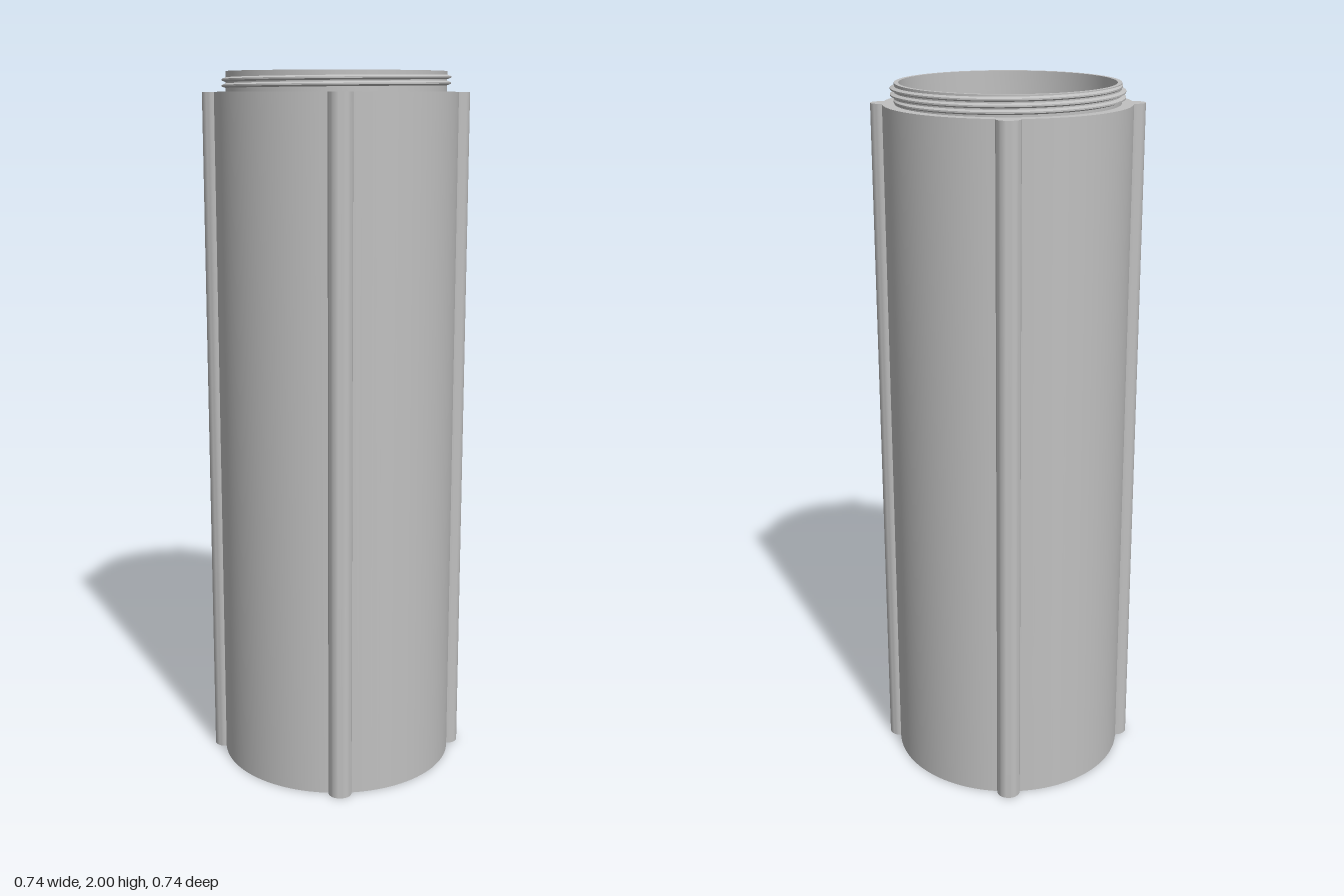
import * as THREE from 'three';
import { toCreasedNormals } from 'three/addons/utils/BufferGeometryUtils.js';

const BODY_H = 1.945, TOP = 2, R_OUT = 0.338, R_IN = 0.293, R_RIB = 0.033;
const R_ROOT = 0.305, R_CREST = 0.316, FLOOR = 0.04;

// Extrude a plan shape upwards from y = 0
function extrudeUp(shape, height, segments) {
  const g = new THREE.ExtrudeGeometry(shape, { depth: height, bevelEnabled: false, curveSegments: segments });
  g.rotateX(-Math.PI / 2);
  return toCreasedNormals(g, 0.45);
}

// Round plan with four half-round ribs and a circular bore
function bodyShape() {
  const pts = [];
  const a = Math.asin(R_RIB / R_OUT);
  for (let q = 0; q < 4; q++) {
    const t = q * Math.PI / 2;
    const cx = R_OUT * Math.cos(t), cy = R_OUT * Math.sin(t);
    for (let i = 0; i <= 14; i++) {
      const b = t - Math.PI / 2 + Math.PI * i / 14;
      pts.push(new THREE.Vector2(cx + R_RIB * Math.cos(b), cy + R_RIB * Math.sin(b)));
    }
    for (let i = 0; i <= 24; i++) {
      const b = t + a + (Math.PI / 2 - 2 * a) * i / 24;
      pts.push(new THREE.Vector2(R_OUT * Math.cos(b), R_OUT * Math.sin(b)));
    }
  }
  const s = new THREE.Shape(pts);
  s.holes.push(new THREE.Path().absarc(0, 0, R_IN, 0, Math.PI * 2, true));
  return s;
}

// Disc with a long narrow slot
function floorShape() {
  const s = new THREE.Shape().absarc(0, 0, R_IN, 0, Math.PI * 2, false);
  const w = 0.015, l = 0.283;
  s.holes.push(new THREE.Path([[-w, -l], [-w, l], [w, l], [w, -l]].map(p => new THREE.Vector2(...p))));
  return s;
}

// Helical ridge swept from a trapezoid section, fading out at both ends
function threadGeometry(turns, pitch, y0) {
  const pos = [], idx = [], n = Math.round(turns * 96);
  for (let i = 0; i <= n; i++) {
    const t = i / 96 * Math.PI * 2, y = y0 + pitch * i / 96;
    const fade = Math.min(1, i / 10, (n - i) / 10);
    const crest = R_ROOT + (R_CREST - R_ROOT) * fade;
    const section = [[R_ROOT - 0.002, -0.007], [crest, -0.002], [crest, 0.002], [R_ROOT - 0.002, 0.007]];
    for (const [r, dy] of section) pos.push(r * Math.cos(t), y + dy, -r * Math.sin(t));
    if (i === n) continue;
    for (let k = 0; k < 3; k++) {
      const p = i * 4 + k, q = p + 4;
      idx.push(p, q, q + 1, p, q + 1, p + 1);
    }
  }
  const g = new THREE.BufferGeometry();
  g.setAttribute('position', new THREE.Float32BufferAttribute(pos, 3));
  g.setIndex(idx);
  return toCreasedNormals(g, 0.5);
}

export function createModel() {
  const group = new THREE.Group();
  const grey = new THREE.MeshStandardMaterial({ color: 0xc0c0c0 });
  grey.name = 'grey';
  const add = (name, geometry) => {
    const m = new THREE.Mesh(geometry, grey);
    m.name = name;
    group.add(m);
  };

  add('ribbedTube', extrudeUp(bodyShape(), BODY_H, 48));
  add('slottedFloor', extrudeUp(floorShape(), FLOOR, 48));

  // Neck ring: outer wall, rim, inner wall
  const neck = [[R_ROOT, BODY_H], [R_ROOT, TOP], [R_IN, TOP], [R_IN, BODY_H]].map(p => new THREE.Vector2(...p));
  add('neck', toCreasedNormals(new THREE.LatheGeometry(neck, 96), 0.5));
  add('screwThread', threadGeometry(2.5, 0.016, 1.953));
  return group;
}
